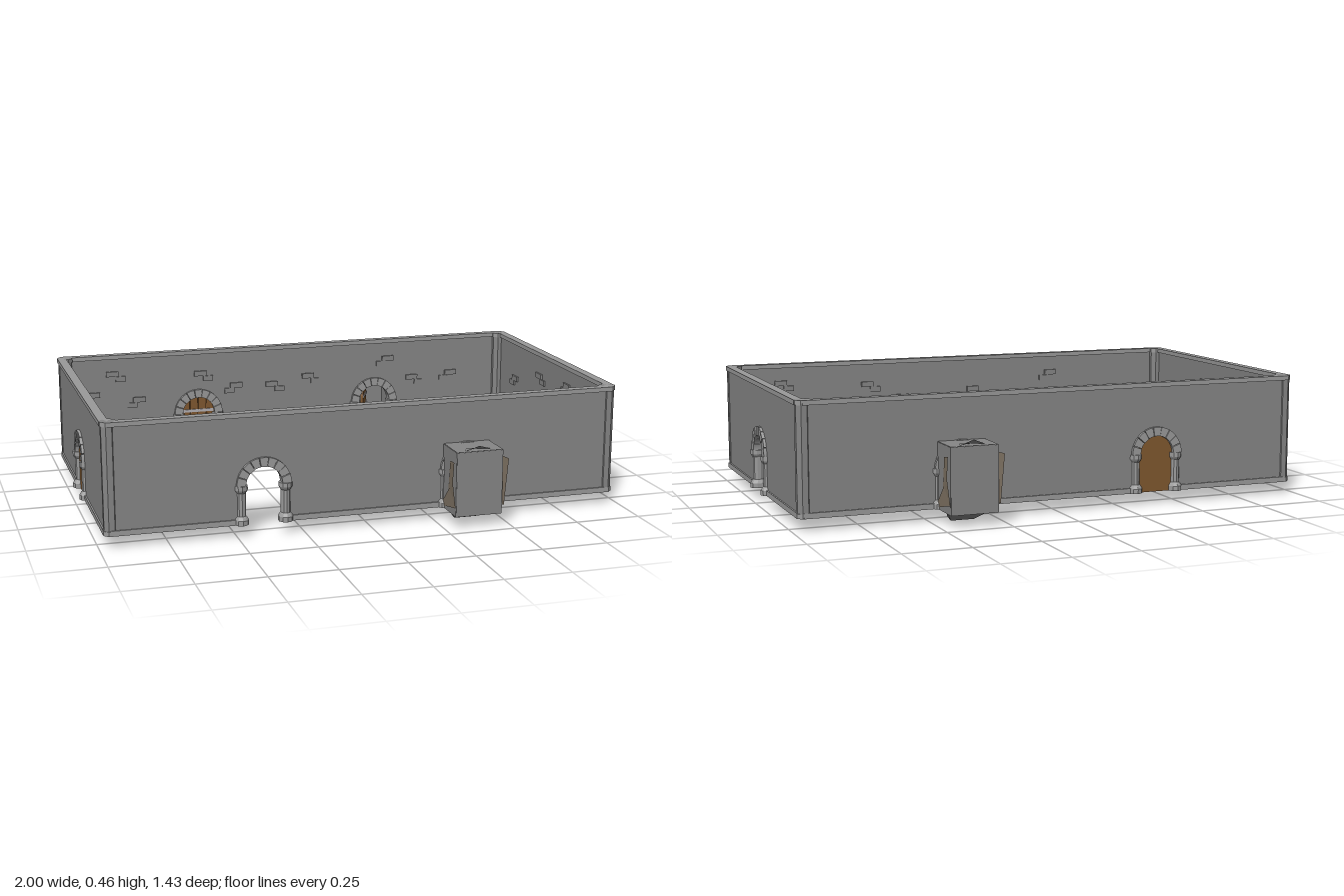
import * as THREE from 'three';
import { ConvexGeometry } from 'three/addons/geometries/ConvexGeometry.js';

const paint = (color) => new THREE.MeshStandardMaterial({ color, flatShading: true, side: THREE.DoubleSide });
const stone = paint(0x868686);
const trim = paint(0x9a9a9a);
const iron = paint(0xb4b0b4);
const wood = paint(0x80582f);
const rubble = paint(0x857868);

const FLOOR = 0.05, TOP = 0.465;      // wall bottom and top
const SPRING = 0.195, OPEN = 0.072;   // arch spring height and opening half width

function add(parent, name, geometry, material, x = 0, y = 0, z = 0) {
  const mesh = new THREE.Mesh(geometry, material);
  mesh.name = name;
  mesh.position.set(x, y, z);
  parent.add(mesh);
  return mesh;
}
const box = (parent, name, mat, w, h, d, x, y, z) =>
  add(parent, name, new THREE.BoxGeometry(w, h, d), mat, x, y, z);

function extrude(shape, depth) {
  const g = new THREE.ExtrudeGeometry(shape, { depth, bevelEnabled: false, curveSegments: 14 });
  return g.translate(0, 0, -depth / 2);
}

// Irregular plate fanned around its own middle
function shard(parent, name, points, material) {
  const mid = points.reduce((s, p) => s.map((v, i) => v + p[i] / points.length), [0, 0, 0]);
  const pos = [];
  points.forEach((p, i) => pos.push(...mid, ...p, ...points[(i + 1) % points.length]));
  const g = new THREE.BufferGeometry();
  g.setAttribute('position', new THREE.Float32BufferAttribute(pos, 3));
  g.computeVertexNormals();
  add(parent, name, g, material);
}

// Arched frame: two columns and a ring of wedge stones
function archFrame() {
  const frame = new THREE.Group();
  frame.name = 'archFrame';
  const profile = [[0, 0], [0.028, 0], [0.028, 0.018], [0.023, 0.026], [0.018, 0.032], [0.018, 0.118],
    [0.022, 0.124], [0.025, 0.13], [0.025, 0.146], [0, 0.146]].map(([r, y]) => new THREE.Vector2(r, y));
  for (const s of [-1, 1]) {
    const column = add(frame, 'column', new THREE.LatheGeometry(profile, 10), trim, s * 0.083, FLOOR, 0);
    column.scale.z = 1.14;
  }
  const count = 9, step = Math.PI / count;
  for (let i = 0; i < count; i++) {
    const a = i * step + 0.012, b = (i + 1) * step - 0.012;
    const s = new THREE.Shape();
    s.absarc(0, 0, 0.102, a, b, false);
    s.absarc(0, 0, 0.068, b, a, true);
    add(frame, 'archStone', extrude(s, i % 2 ? 0.038 : 0.042), trim, 0, SPRING, 0);
  }
  return frame;
}

// Arched plank door with iron straps and ring handle on its +z face
function plankDoor() {
  const door = new THREE.Group();
  door.name = 'door';
  const h = SPRING - FLOOR, r = 0.07;
  const slab = new THREE.Shape();
  slab.moveTo(-r, 0);
  slab.lineTo(r, 0);
  slab.absarc(0, h, r, 0, Math.PI, false);
  add(door, 'doorBacking', extrude(slab, 0.006), wood, 0, FLOOR, -0.003);
  const w = (2 * r) / 4;
  for (let i = 0; i < 4; i++) {
    const x0 = -r + i * w + 0.0015, x1 = x0 + w - 0.003;
    const s = new THREE.Shape();
    s.moveTo(x0, 0);
    s.lineTo(x1, 0);
    for (let k = 0; k <= 5; k++) {
      const x = x1 + (x0 - x1) * k / 5;
      s.lineTo(x, h + Math.sqrt(r * r - x * x));
    }
    add(door, 'plank', extrude(s, 0.007), wood, 0, FLOOR, 0.003);
  }
  for (const y of [0.09, 0.205]) box(door, 'strap', iron, 0.13, 0.012, 0.004, 0, y, 0.008);
  add(door, 'handlePlate', new THREE.BoxGeometry(0.012, 0.018, 0.004), iron, 0.05, 0.163, 0.008);
  add(door, 'handleRing', new THREE.TorusGeometry(0.009, 0.002, 5, 12), iron, 0.05, 0.155, 0.011);
  return door;
}

// Dead-end recess behind a doorway, with broken plates around it and its door swung back
function alcove() {
  const g = new THREE.Group();
  g.name = 'alcove';
  const w = 0.178, h = 0.242, d = 0.138, y = FLOOR + h / 2, z = -0.008 - d / 2;
  box(g, 'alcoveEnd', stone, w, h, 0.003, 0, y, z - d / 2);
  box(g, 'alcoveRoof', stone, w, 0.003, d, 0, FLOOR + h, z);
  box(g, 'alcoveFloor', stone, w, 0.003, d, 0, FLOOR, z);
  for (const s of [-1, 1]) box(g, 'alcoveSide', stone, 0.003, h, d, s * w / 2, y, z);

  shard(g, 'brokenSide', [[-0.106, 0.262, -0.164], [-0.094, 0.262, -0.1], [-0.093, 0.17, -0.055],
    [-0.092, 0.09, -0.018], [-0.092, 0.05, -0.004], [-0.092, 0.06, -0.08], [-0.094, 0.085, -0.156]], rubble);
  shard(g, 'brokenSide', [[0.107, 0.262, -0.164], [0.102, 0.18, -0.14], [0.094, 0.085, -0.152],
    [0.092, 0.06, -0.03], [0.092, 0.06, 0.002], [0.092, 0.13, -0.07], [0.094, 0.25, -0.09]], rubble);
  shard(g, 'brokenTop', [[-0.05, 0.294, -0.125], [0.01, 0.318, -0.163], [0.055, 0.296, -0.142],
    [0.04, 0.294, -0.09]], stone);
  const lump = [[0.085, 0.052, -0.1], [0.07, 0.03, -0.05], [0.045, 0.004, -0.018], [0.04, 0.03, 0.028]];
  add(g, 'brokenFloor', new ConvexGeometry(lump.flatMap(([x, py, pz]) =>
    [new THREE.Vector3(x, py, pz), new THREE.Vector3(-x, py, pz)])), stone);

  const door = plankDoor();
  door.scale.x = 0.75;
  door.rotation.y = 1.13;
  door.position.set(-0.02, 0, -0.075);
  g.add(door);
  return g;
}

// One wall: local +z faces the courtyard. doorways: [{x, kind}], bricks: [[x, y]]
function wall(name, half, doorways, bricks) {
  const g = new THREE.Group();
  g.name = name;
  const end = half + 0.01;
  const base = (a, b) => box(g, 'baseTrim', trim, b - a, 0.02, 0.03, (a + b) / 2, FLOOR + 0.01, 0);
  const s = new THREE.Shape();
  s.moveTo(-half, TOP);
  s.lineTo(-half, FLOOR);
  let start = -end;
  for (const { x, kind } of doorways) {
    s.lineTo(x - OPEN, FLOOR);
    s.lineTo(x - OPEN, SPRING);
    s.absarc(x, SPRING, OPEN, Math.PI, 0, true);
    s.lineTo(x + OPEN, FLOOR);
    base(start, x - 0.08);
    start = x + 0.08;
    const bay = new THREE.Group();
    bay.name = 'doorway';
    bay.position.x = x;
    bay.add(archFrame());
    if (kind === 'door') bay.add(plankDoor());
    if (kind === 'alcove') bay.add(alcove());
    g.add(bay);
  }
  s.lineTo(half, FLOOR);
  s.lineTo(half, TOP - 0.002);
  s.lineTo(-half, TOP - 0.002);
  add(g, 'wallPanel', extrude(s, 0.018), stone);
  base(start, end);
  box(g, 'topTrim', trim, 2 * end, 0.017, 0.034, 0, TOP - 0.0085, 0);

  // Raised bricks in small staggered clusters
  bricks.forEach(([x, y], i) => {
    box(g, 'brick', stone, 0.052, 0.021, 0.012, x, y, 0.011);
    box(g, 'brick', stone, 0.042, 0.021, 0.009, x + (i % 2 ? 0.034 : -0.03), y - 0.022, 0.011);
  });
  return g;
}

export function createModel() {
  const model = new THREE.Group();
  model.name = 'walledCourtyard';
  const X = 0.967, Z = 0.552;
  const longBricks = [[-0.84, 0.3], [-0.76, 0.385], [-0.65, 0.27], [-0.39, 0.365], [-0.235, 0.305], [-0.08, 0.3],
    [-0.1, 0.14], [0.08, 0.325], [0.44, 0.38], [0.55, 0.29], [0.73, 0.3]];
  const shortBricks = [[-0.34, 0.3], [-0.09, 0.365], [0.18, 0.38], [0.4, 0.29], [0.31, 0.155]];

  const place = (w, x, z, turn) => {
    w.position.set(x, 0, z);
    w.rotation.y = turn;
    model.add(w);
  };
  place(wall('backWall', 0.95, [{ x: -0.4, kind: 'door' }, { x: 0.378, kind: 'alcove' }], longBricks), 0, -Z, 0);
  place(wall('frontWall', 0.95, [{ x: -0.378, kind: 'alcove' }, { x: 0.4, kind: 'open' }], longBricks), 0, Z, Math.PI);
  place(wall('rightWall', 0.535, [{ x: 0, kind: 'door' }], shortBricks), -X, 0, Math.PI / 2);
  place(wall('leftWall', 0.535, [{ x: 0, kind: 'open' }], shortBricks), X, 0, -Math.PI / 2);

  // Corner posts
  for (const sx of [-1, 1]) for (const sz of [-1, 1]) {
    const post = new THREE.CylinderGeometry(0.028, 0.028, TOP - FLOOR, 8, 1, false, Math.PI / 8);
    add(model, 'cornerPost', post, stone, sx * 0.953, (TOP + FLOOR) / 2, sz * 0.538);
    const cap = new THREE.CylinderGeometry(0.031, 0.031, 0.017, 8, 1, false, Math.PI / 8);
    add(model, 'cornerCap', cap, trim, sx * 0.953, TOP - 0.0085, sz * 0.538);
    add(model, 'cornerBase', cap, trim, sx * 0.953, FLOOR + 0.0085, sz * 0.538);
  }
  return model;
}
